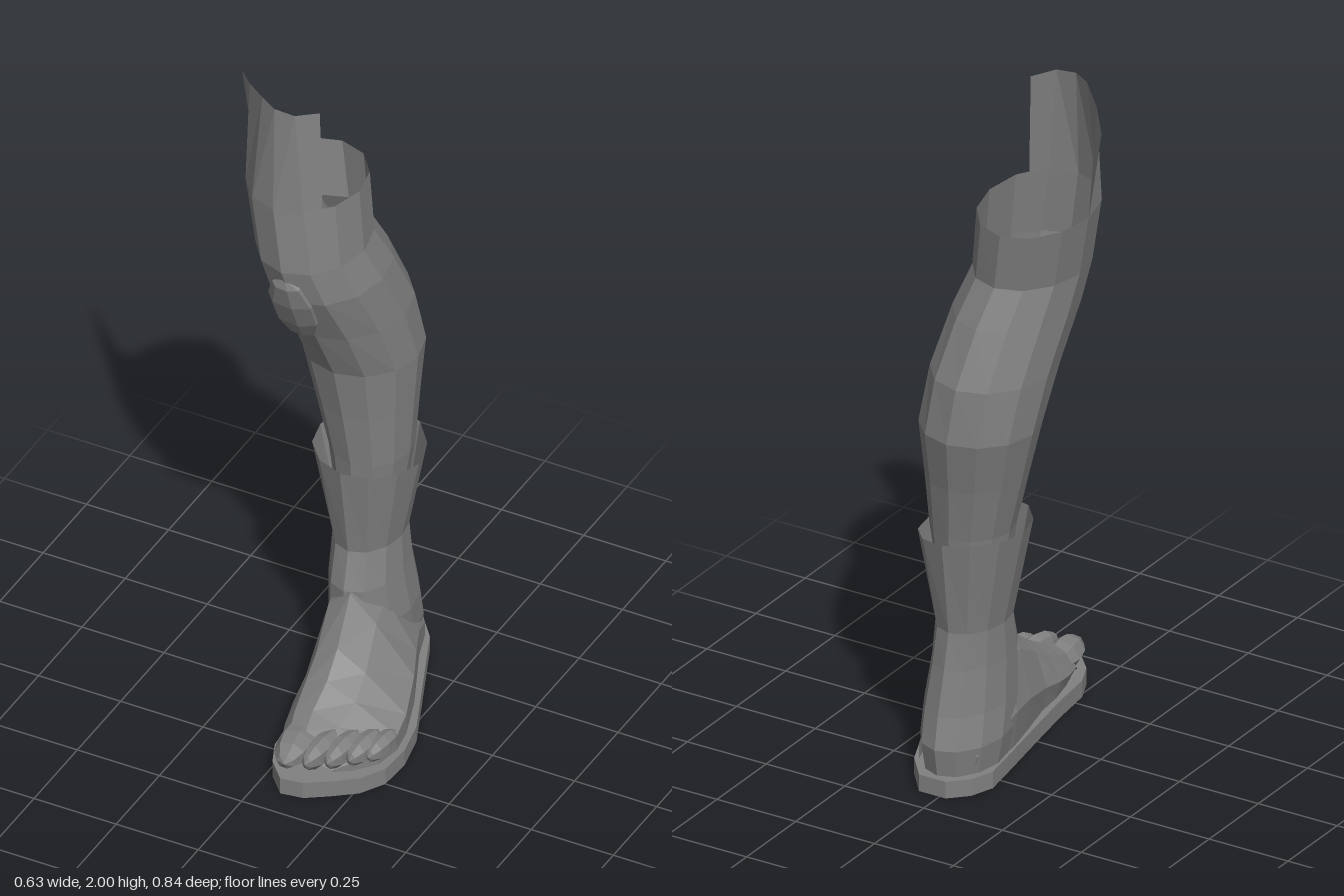
import * as THREE from 'three';

const material = new THREE.MeshStandardMaterial({
  color: 0x808080, flatShading: true, side: THREE.DoubleSide,
});

function addMesh(parent, name, geometry) {
  const mesh = new THREE.Mesh(geometry, material);
  mesh.name = name;
  parent.add(mesh);
  return mesh;
}

// Skin a list of equally long point rows; closed joins the row ends.
function loft(rows, closed) {
  const n = rows[0].length, index = [];
  for (let r = 0; r < rows.length - 1; r++) {
    for (let i = 0; i < (closed ? n : n - 1); i++) {
      const a = r * n + i, b = r * n + (i + 1) % n;
      index.push(a, a + n, b, b, a + n, b + n);
    }
  }
  const g = new THREE.BufferGeometry();
  g.setAttribute('position', new THREE.Float32BufferAttribute(rows.flat(2), 3));
  g.setIndex(index);
  g.computeVertexNormals();
  return g;
}

// Horizontal ring from its extents; tilt lifts the front of the ring.
function ring([y, x0, x1, z0, z1, tilt = 0]) {
  return Array.from({ length: 12 }, (_, i) => {
    const a = -i / 12 * Math.PI * 2;
    const c = Math.cos(a), s = Math.sin(a);
    return [(x0 + x1) / 2 + c * (x1 - x0) / 2, y + s * tilt, (z0 + z1) / 2 + s * (z1 - z0) / 2];
  });
}

// Arched vertical foot section, with the ridge at xm.
function arch([z, x0, x1, xm, h]) {
  const b = 0.05;
  return [
    [x0 + 0.015, b, z], [x0, b + (h - b) * 0.35, z],
    [x0 + (xm - x0) * 0.35, b + (h - b) * 0.82, z], [xm, h, z],
    [xm + (x1 - xm) * 0.4, b + (h - b) * 0.75, z],
    [x1 - 0.005, b + (h - b) * 0.3, z], [x1 - 0.005, b, z],
  ];
}

export function createModel() {
  const leg = new THREE.Group();
  leg.name = 'leg';

  // Thigh, knee and calf: one open tube
  const limb = [
    [0.6, -0.08, 0.11, -0.335, -0.11],
    [0.74, -0.1, 0.13, -0.35, -0.1],
    [0.9, -0.14, 0.14, -0.375, -0.083],
    [1.06, -0.18, 0.15, -0.41, -0.06],
    [1.22, -0.2, 0.133, -0.392, 0.01],
    [1.38, -0.218, 0.105, -0.325, 0.093],
    [1.49, -0.23, 0.07, -0.27, 0.12],
    [1.675, -0.265, 0.05, -0.285, 0.115, 0.015],
  ];
  addMesh(leg, 'limb', loft(limb.map(ring), true));

  // Raised front wall of the thigh
  const wallBottom = [
    [0.005, 1.68, 0.045], [-0.03, 1.685, 0.088], [-0.108, 1.68, 0.115],
    [-0.186, 1.68, 0.088], [-0.244, 1.68, 0.015], [-0.265, 1.67, -0.085],
  ];
  const wallTop = [
    [-0.012, 1.985, 0.025], [-0.06, 1.995, 0.08], [-0.12, 2, 0.083],
    [-0.175, 2, 0.05], [-0.25, 1.975, -0.02], [-0.315, 1.945, -0.1],
  ];
  addMesh(leg, 'thighFrontWall', loft([wallBottom, wallTop], false));

  // Kneecap, a shallow swelling
  const knee = addMesh(leg, 'kneecap', new THREE.SphereGeometry(1, 7, 5));
  knee.scale.set(0.075, 0.14, 0.035);
  knee.position.set(-0.075, 1.335, 0.052);
  knee.rotation.x = 0.42;

  // Flared cuff running down through the ankle to the heel
  const cuff = [
    [0.05, -0.08, 0.12, -0.4, -0.1],
    [0.13, -0.092, 0.132, -0.413, -0.08],
    [0.22, -0.086, 0.135, -0.39, -0.05],
    [0.35, -0.08, 0.12, -0.365, -0.05],
    [0.46, -0.08, 0.11, -0.35, -0.085],
    [0.73, -0.14, 0.16, -0.392, -0.048],
  ].map(ring);
  cuff.at(-1).forEach((p, i) => {
    // The rim dips toward the outer side
    p[1] += 0.012 * Math.abs(Math.sin(i / 6 * Math.PI)) - 0.015 * Math.cos(i / 6 * Math.PI);
  });
  addMesh(leg, 'cuffAndHeel', loft(cuff, true));

  // Foot and instep
  const foot = [
    [-0.34, -0.07, 0.12, 0.02, 0.2],
    [-0.25, -0.085, 0.15, 0.02, 0.32],
    [-0.15, -0.08, 0.195, 0.03, 0.37],
    [-0.05, -0.06, 0.24, 0.04, 0.35],
    [0.08, -0.03, 0.285, 0.07, 0.26],
    [0.16, -0.022, 0.298, 0.08, 0.205],
    [0.24, -0.005, 0.285, 0.08, 0.16],
    [0.3, 0.015, 0.235, 0.09, 0.135],
    [0.33, 0.03, 0.19, 0.09, 0.07],
  ];
  addMesh(leg, 'foot', loft(foot.map(arch), false));

  // Toes: x, tip z, half width, half length, half height
  const toes = new THREE.Group();
  toes.name = 'toes';
  leg.add(toes);
  [
    [0.068, 0.415, 0.052, 0.1, 0.045],
    [0.143, 0.392, 0.032, 0.09, 0.046],
    [0.192, 0.358, 0.031, 0.085, 0.044],
    [0.236, 0.315, 0.031, 0.08, 0.041],
    [0.27, 0.272, 0.028, 0.07, 0.037],
  ].forEach(([x, tip, w, l, h], i) => {
    const g = new THREE.SphereGeometry(1, 7, 6).rotateX(Math.PI / 2).scale(w, h, l);
    const toe = addMesh(toes, `toe${i + 1}`, g);
    toe.position.set(x, 0.05 + h, tip - l);
    toe.rotation.y = i ? -0.1 : 0.15;
  });

  // Flat sole
  const outline = [
    [-0.02, -0.42], [0.065, -0.42], [0.13, -0.34], [0.21, -0.15], [0.29, 0.04],
    [0.312, 0.15], [0.306, 0.25], [0.265, 0.32], [0.2, 0.37], [0.14, 0.41],
    [0.075, 0.42], [0.02, 0.36], [-0.01, 0.29], [-0.025, 0.15], [-0.045, 0.02],
    [-0.08, -0.2], [-0.095, -0.3], [-0.07, -0.37],
  ];
  const shape = new THREE.Shape(outline.map(([x, z]) => new THREE.Vector2(x, -z)));
  const sole = new THREE.ExtrudeGeometry(shape, { depth: 0.05, bevelEnabled: false });
  addMesh(leg, 'sole', sole.rotateX(-Math.PI / 2));

  return leg;
}
